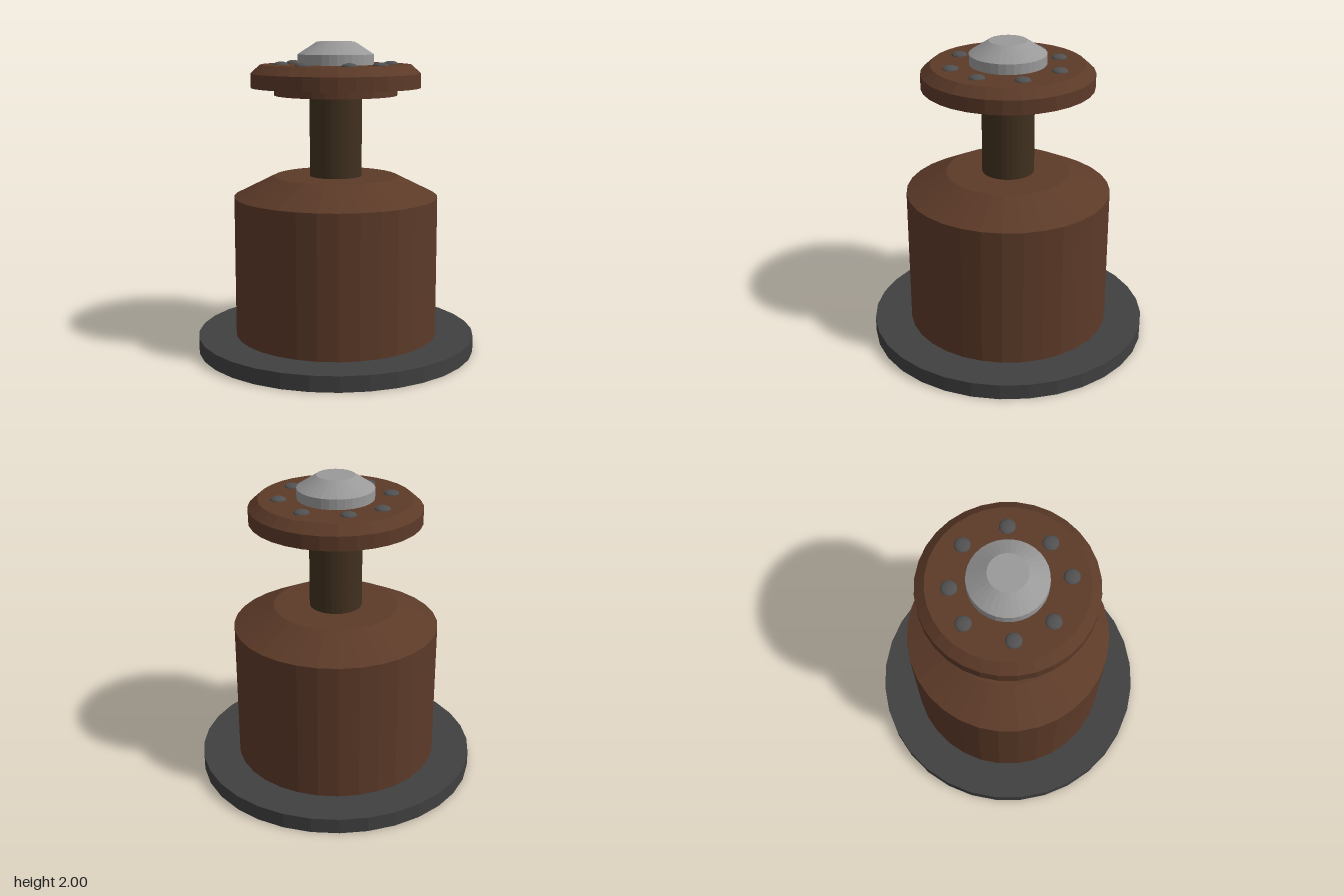
import * as THREE from 'three';

const SIDES = 32;
const paint = (color) => new THREE.MeshStandardMaterial({ color, flatShading: true });
const brown = paint(0x5c3a28);
const darkBrown = paint(0x40301f);
const iron = paint(0x404040);
const rivetIron = paint(0x505050);
const steel = paint(0x999999);

export function createModel() {
  const model = new THREE.Group();
  model.name = 'plungerMachine';

  // Turned part from [radius, height] points, bottom to top
  const turned = (name, points, material) => {
    const profile = points.map(([r, y]) => new THREE.Vector2(r, y));
    const mesh = new THREE.Mesh(new THREE.LatheGeometry(profile, SIDES), material);
    mesh.name = name;
    model.add(mesh);
  };

  turned('basePlate', [[0, 0], [0.905, 0], [0.905, 0.1], [0, 0.1]], iron);
  turned('body', [[0, 0.09], [0.66, 0.09], [0.66, 1.01], [0.4, 1.14], [0, 1.14]], brown);
  turned('neck', [[0.168, 1.12], [0.168, 1.68]], darkBrown);
  turned('headCollar', [[0, 1.66], [0.395, 1.66], [0.395, 1.72]], brown);
  turned('headDisc', [[0, 1.71], [0.545, 1.71], [0.545, 1.8], [0.483, 1.855], [0, 1.855]], brown);
  turned('capNut', [[0.243, 1.85], [0.243, 1.92], [0.12, 2], [0, 2]], steel);

  // Slightly uneven ring of domed rivets around the cap, as [x, z]
  const rivets = new THREE.Group();
  rivets.name = 'rivets';
  const dome = new THREE.SphereGeometry(0.05, 16, 6, 0, Math.PI * 2, 0, Math.PI / 2);
  const spots = [
    [0, -0.34], [0.262, -0.24], [0.354, 0.032], [0.223, 0.273],
    [0, 0.37], [-0.264, 0.234], [-0.354, -0.003], [-0.224, -0.277],
  ];
  for (const [x, z] of spots) {
    const rivet = new THREE.Mesh(dome, rivetIron);
    rivet.name = 'rivet';
    rivet.position.set(x, 1.854, z);
    rivet.scale.y = 0.44;
    rivets.add(rivet);
  }
  model.add(rivets);

  return model;
}
